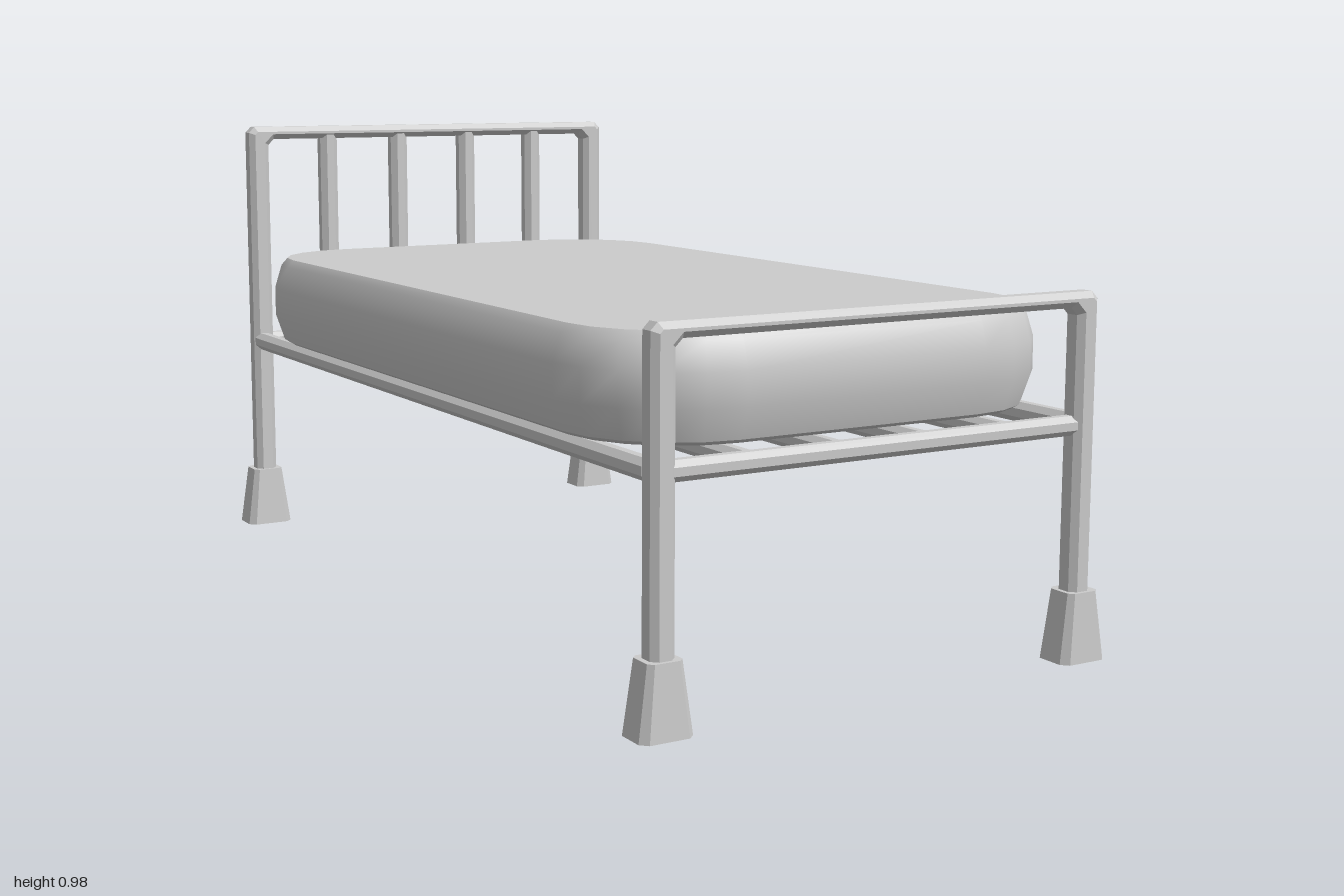
import * as THREE from 'three';
import { toCreasedNormals } from 'three/addons/utils/BufferGeometryUtils.js';

const flat = new THREE.MeshStandardMaterial({ color: 0xcccccc, flatShading: true });
const smooth = new THREE.MeshStandardMaterial({ color: 0xcccccc });

// Capped stack of rounded rectangles; each section is [y, halfWidth, halfDepth, cornerRadius]
function loft(sections, cornerSegments) {
  const pos = [], index = [];
  const n = 4 * (cornerSegments + 1);
  for (const [y, w, d, r] of sections) {
    for (let q = 0; q < 4; q++) {
      const cx = (q === 0 || q === 3 ? 1 : -1) * (w - r);
      const cz = (q < 2 ? -1 : 1) * (d - r);
      for (let s = 0; s <= cornerSegments; s++) {
        const a = (q + s / cornerSegments) * Math.PI / 2;
        pos.push(cx + r * Math.cos(a), y, cz - r * Math.sin(a));
      }
    }
  }
  const last = (sections.length - 1) * n;
  const bottom = pos.length / 3, top = bottom + 1;
  pos.push(0, sections[0][0], 0, 0, sections[sections.length - 1][0], 0);
  for (let j = 0; j < n; j++) {
    const k = (j + 1) % n;
    for (let i = 0; i < last; i += n) {
      index.push(i + j, i + k, i + n + k, i + j, i + n + k, i + n + j);
    }
    index.push(bottom, k, j, top, last + j, last + k);
  }
  const g = new THREE.BufferGeometry();
  g.setAttribute('position', new THREE.Float32BufferAttribute(pos, 3));
  g.setIndex(index);
  g.computeVertexNormals();
  return g;
}

// Octagonal tube, given its width across the flats
function tube(width, length, axis) {
  const r = width / 2 / Math.cos(Math.PI / 8);
  const g = new THREE.CylinderGeometry(r, r, length, 8, 1, false, Math.PI / 8);
  if (axis === 'x') g.rotateZ(Math.PI / 2);
  if (axis === 'z') g.rotateX(Math.PI / 2);
  return g;
}

// Two posts and their top rail as one bevelled arch
function arch(height) {
  const o = 0.489, i = 0.44, y0 = 0.1, c = 0.014, t = height - 0.03;
  const s = new THREE.Shape([
    [-o, y0], [-i, y0], [-i, t - c], [-i + c, t], [i - c, t], [i, t - c], [i, y0],
    [o, y0], [o, height - c], [o - c, height], [-o + c, height], [-o, height - c],
  ].map(([x, y]) => new THREE.Vector2(x, y)));
  const b = 0.012, depth = 0.05;
  const g = new THREE.ExtrudeGeometry(s, {
    depth: depth - 2 * b, bevelEnabled: true, bevelThickness: b,
    bevelSize: b, bevelOffset: -b, bevelSegments: 1,
  });
  return g.translate(0, 0, -depth / 2 + b);
}

export function createModel() {
  const group = new THREE.Group();
  const add = (name, geometry, x, y, z, material = flat) => {
    const m = new THREE.Mesh(geometry, material);
    m.name = name;
    m.position.set(x, y, z);
    group.add(m);
  };
  const endZ = 0.958, frameY = 0.457;

  // End frames
  add('headboardFrame', arch(0.983), 0, 0, -endZ);
  add('footboardFrame', arch(0.712), 0, 0, endZ);

  // Feet, crossbars and side rails
  const foot = loft([[0, 0.054, 0.042, 0.014], [0.136, 0.035, 0.033, 0.01]], 1);
  for (const s of [-1, 1]) {
    for (const x of [-0.465, 0.465]) add('foot', foot, x, 0, s * endZ);
    add('crossbar', tube(0.038, 0.9, 'x'), 0, frameY, s * endZ);
    add('sideRail', tube(0.04, 1.88, 'z'), s * 0.467, frameY, 0);
  }

  // Headboard bars and the slats in line with them
  for (let i = 0; i < 4; i++) {
    const x = 0.004 + (i - 1.5) * 0.19;
    add('headboardBar', tube(0.044, 0.51, 'y'), x, 0.71, -endZ);
    add('slat', tube(0.036, 1.9, 'z'), x, frameY, 0);
  }

  // Mattress, from [height, inset] steps of its edge
  const edge = [[0.477, 0.034], [0.485, 0.02], [0.545, 0], [0.61, 0], [0.663, 0.016], [0.679, 0.03]];
  const sections = edge.map(([y, e]) => [y, 0.514 - e, 0.925 - e, 0.25 - e]);
  add('mattress', toCreasedNormals(loft(sections, 5), 0.6), 0, 0, 0, smooth);

  return group;
}
